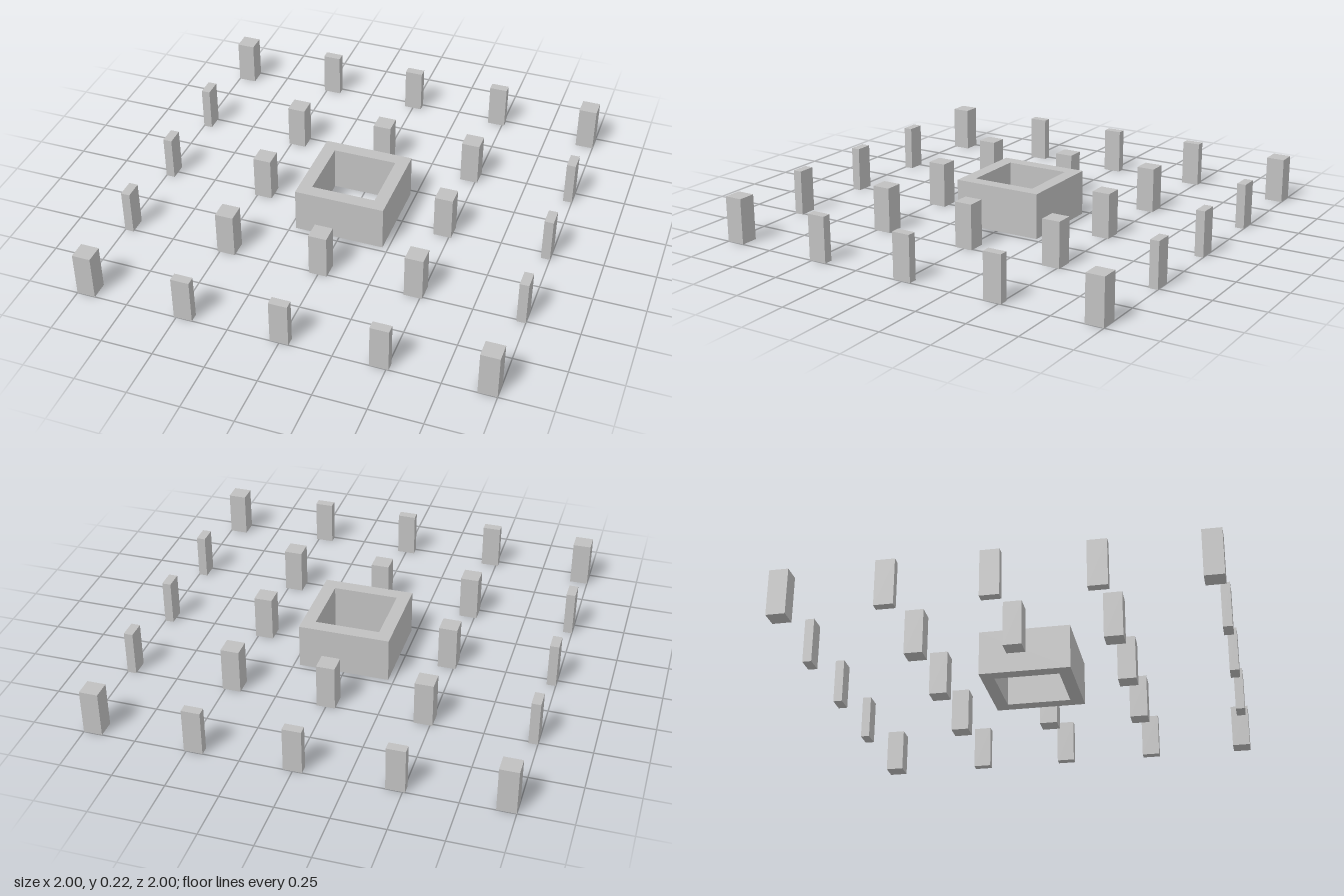
import * as THREE from 'three';

const HEIGHT = 0.222;

export function createModel() {
  const model = new THREE.Group();
  const stone = new THREE.MeshStandardMaterial({ color: 0xc0c0c0 });
  stone.name = 'grey concrete';

  // Square core: a wall ring open at top and bottom
  const outer = 0.222, inner = 0.158;
  const square = (P, r) => new P([[-r, -r], [r, -r], [r, r], [-r, r]].map(([x, y]) => new THREE.Vector2(x, y)));
  const ring = square(THREE.Shape, outer);
  ring.holes.push(square(THREE.Path, inner));
  const coreGeometry = new THREE.ExtrudeGeometry(ring, { depth: HEIGHT, bevelEnabled: false });
  coreGeometry.rotateX(-Math.PI / 2);
  const core = new THREE.Mesh(coreGeometry, stone);
  core.name = 'coreWall';
  model.add(core);

  // Columns on a five by five grid around the core
  const full = 0.089, half = 0.044, pitch = 0.467;
  const place = (i, size) => (Math.abs(i) === 2 ? Math.sign(i) * (1 - size / 2) : i * pitch);
  for (let i = -2; i <= 2; i++) {
    for (let j = -2; j <= 2; j++) {
      if (i === 0 && j === 0) continue;
      const edgeX = Math.abs(i) === 2, edgeZ = Math.abs(j) === 2;
      // Side columns are half as deep; corner and inner ones are square
      const w = edgeX && !edgeZ ? half : full;
      const d = edgeZ && !edgeX ? half : full;
      const column = new THREE.Mesh(new THREE.BoxGeometry(w, HEIGHT, d), stone);
      column.name = edgeX && edgeZ ? 'cornerColumn' : edgeX || edgeZ ? 'edgeColumn' : 'innerColumn';
      column.position.set(place(i, w), HEIGHT / 2, place(j, d));
      model.add(column);
    }
  }
  return model;
}
